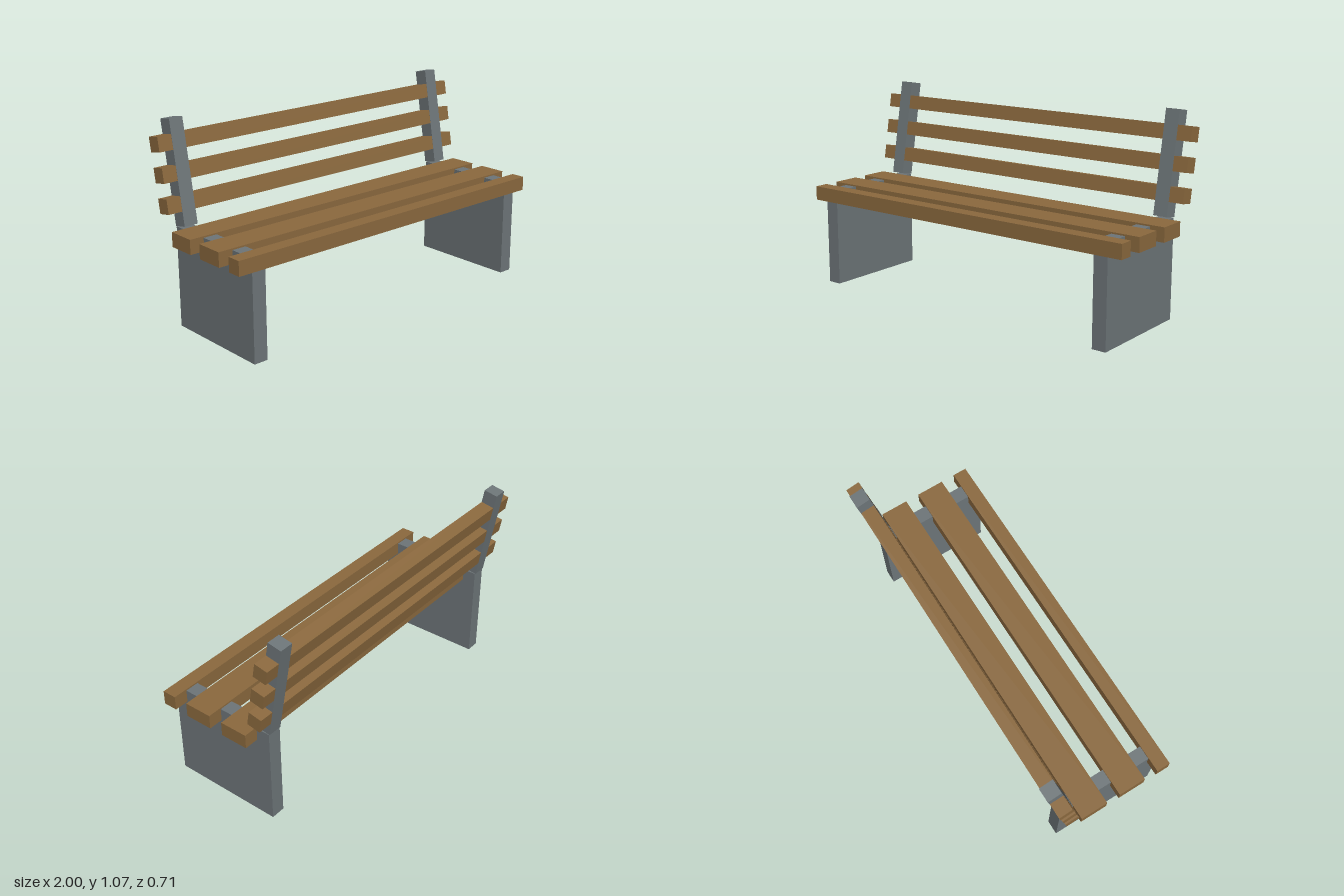
import * as THREE from 'three';

export function createModel() {
  const wood = new THREE.MeshStandardMaterial({ color: 0x8b693e });
  wood.name = 'brown wood';
  const stone = new THREE.MeshStandardMaterial({ color: 0x6d7578 });
  stone.name = 'grey concrete';

  const bench = new THREE.Group();
  bench.name = 'bench';

  const addBox = (parent, name, material, size, position) => {
    const mesh = new THREE.Mesh(new THREE.BoxGeometry(...size), material);
    mesh.name = name;
    mesh.position.set(...position);
    parent.add(mesh);
  };

  const T = 0.0765; // common board thickness
  const supportX = 0.883;

  // Seat boards: a narrow front one and two wide ones, as [centre z, depth]
  for (const [z, depth] of [[0.318, T], [0.126, 0.153], [-0.104, 0.153]]) {
    addBox(bench, 'seatSlat', wood, [2, T, depth], [0, 0.502, z]);
  }

  // Backrest, leaning backwards
  const backrest = new THREE.Group();
  backrest.name = 'backrest';
  backrest.position.set(0, 0.804, -0.27);
  backrest.rotation.x = THREE.MathUtils.degToRad(-10);
  bench.add(backrest);
  for (const i of [-1, 0, 1]) {
    addBox(backrest, 'backSlat', wood, [2, T, T - 0.001], [0, i * 2 * T, 0]);
  }

  // Side panels under the seat and posts holding the back slats
  for (const side of [-1, 1]) {
    addBox(bench, 'sidePanel', stone, [T, 0.532, 0.607], [side * supportX, 0.266, 0.0465]);
    addBox(backrest, 'backPost', stone, [T, 7 * T, T + 0.001], [side * supportX, 0, 0]);
  }

  return bench;
}
